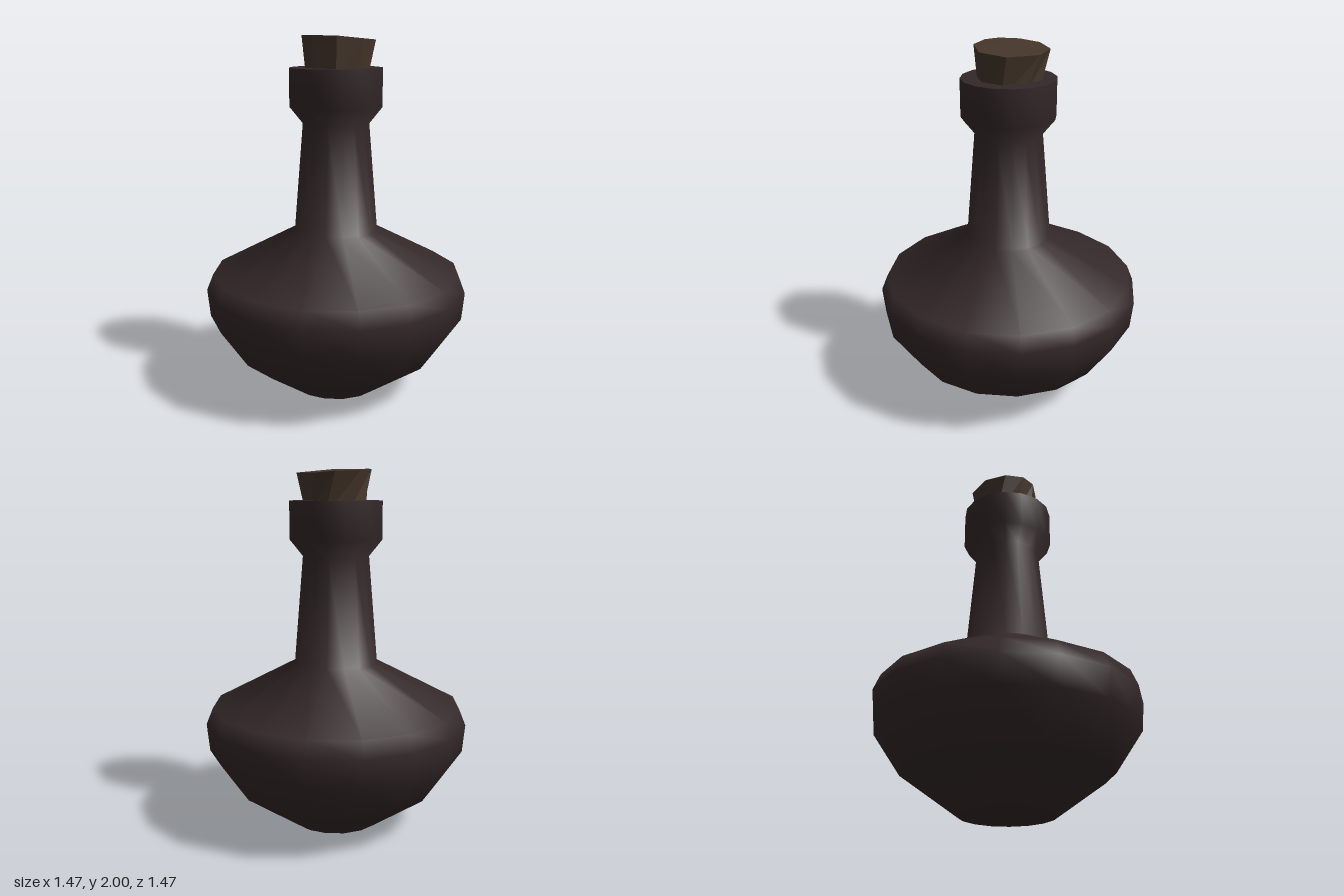
import * as THREE from 'three';

export function createModel() {
  const group = new THREE.Group();
  const glass = new THREE.MeshStandardMaterial({ color: 0x342829 });
  glass.name = 'dark glass';
  const corkBrown = new THREE.MeshStandardMaterial({ color: 0x45362a, flatShading: true });
  corkBrown.name = 'cork brown';

  const add = (name, geometry, material) => {
    const mesh = new THREE.Mesh(geometry, material);
    mesh.name = name;
    group.add(mesh);
    return mesh;
  };
  const lathe = (profile) =>
    new THREE.LatheGeometry(profile.map(([r, y]) => new THREE.Vector2(r, y)), 16);

  // Squat belly, tapering neck and thick collar in one smooth turned surface
  add('bottle', lathe([
    [0.26, 0], [0.57, 0.22], [0.722, 0.445], [0.737, 0.6], [0.7, 0.69],
    [0.235, 0.935], [0.185, 1.53], [0.257, 1.62], [0.257, 1.828],
  ]), glass);

  // Flat base and flat lip, with a short inner wall behind the cork
  add('base', lathe([[0, 0], [0.26, 0]]), glass);
  add('lip', lathe([[0.257, 1.828], [0.155, 1.828]]), glass);
  add('innerWall', lathe([[0.155, 1.828], [0.15, 1.7]]), glass);

  // Roughly whittled cork: uneven top outline [x, z], narrowing downwards
  const outline = [
    [-0.183, -0.02], [-0.16, -0.11], [-0.075, -0.18], [0.05, -0.195], [0.18, -0.12],
    [0.208, 0], [0.13, 0.17], [-0.03, 0.195], [-0.145, 0.11],
  ];
  const n = outline.length;
  const top = outline.map(([x, z], i) =>
    [x, 1.99 - 0.05 * x - (i > 4 && i < 8 ? 0.008 : 0), z]);
  const bottom = outline.map((_, i) => {
    // Bottom corners sit at a steady spacing, so the sides break into uneven facets
    const a = Math.PI + 0.1 + (i / n) * Math.PI * 2;
    return [0.005 + 0.165 * Math.cos(a), 1.75, 0.165 * Math.sin(a)];
  });
  const crown = [0, 1.995, 0.015];
  const floor = [0, 1.75, 0];
  const corners = [];
  for (let i = 0; i < n; i++) {
    const j = (i + 1) % n;
    corners.push(crown, top[j], top[i]);
    corners.push(floor, bottom[i], bottom[j]);
    corners.push(top[i], top[j], bottom[j], top[i], bottom[j], bottom[i]);
  }
  const cork = new THREE.BufferGeometry();
  cork.setAttribute('position', new THREE.Float32BufferAttribute(corners.flat(), 3));
  cork.computeVertexNormals();
  add('cork', cork, corkBrown);

  return group;
}
